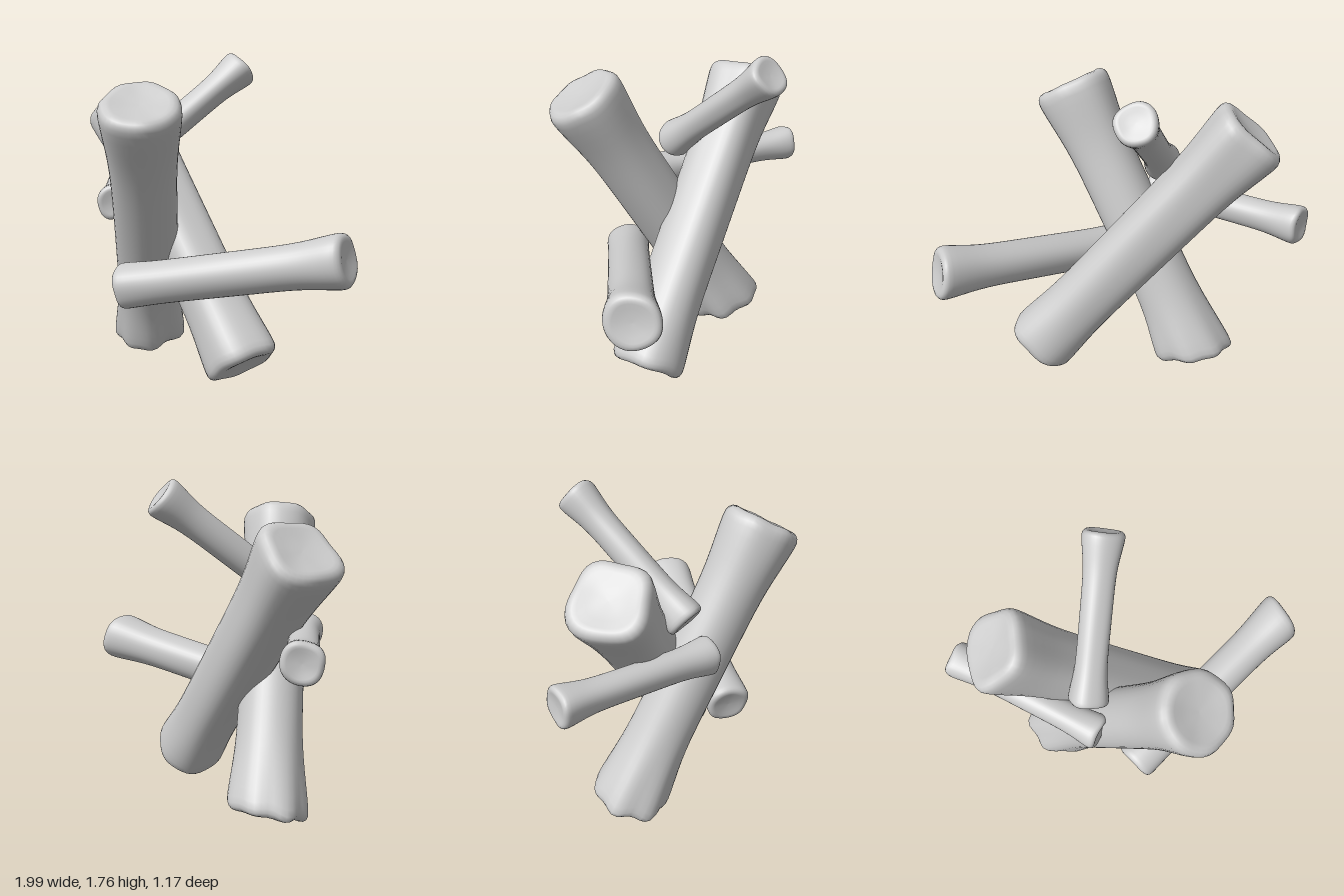
import * as THREE from 'three';

const SIDES = 40;
// End profile from cap centre to shaft: [inset along axis, radius factor], in end radii
const CAP = [[0.09, 0.01], [0.08, 0.25], [0.05, 0.5], [0.01, 0.68], [0, 0.78], [0.03, 0.88], [0.1, 0.95], [0.2, 0.99], [0.35, 1], [0.6, 1]];

// Each piece: ends a and b, end radii, shaft radius, squareness, knobbly rim and cap slant at each end
const PIECES = [
  { name: 'largeBoneFront', a: [-0.455, 0.09, -0.135], b: [0.252, 1.56, 0.4], ra: 0.208, rb: 0.21, mid: 0.171,
    sqA: 0.1, sqB: 0, knobA: 0.014, knobB: 0.005, lobes: 7, seed: 1, slantA: [-0.28, 0], slantB: [0, 0] },
  { name: 'largeBoneBack', a: [0.46, 0.152, -0.12], b: [-0.698, 1.485, -0.095], ra: 0.194, rb: 0.198, mid: 0.168,
    sqA: 0.1, sqB: 0.45, knobA: 0.009, knobB: 0.005, lobes: 5, seed: 2.3, slantA: [0, 0], slantB: [0, 0] },
  { name: 'mediumBoneRight', a: [-0.055, 0.553, 0.33], b: [0.935, 0.803, -0.365], ra: 0.124, rb: 0.141, mid: 0.115,
    sqA: 0, sqB: 0, knobA: 0.004, knobB: 0.003, lobes: 4, seed: 3.7, slantA: [0, 0], slantB: [0, -0.2] },
  { name: 'smallBoneTop', a: [-0.265, 1.175, 0.15], b: [-0.075, 1.715, -0.523], ra: 0.104, rb: 0.105, mid: 0.079,
    sqA: 0.1, sqB: 0.1, knobA: 0.004, knobB: 0.005, lobes: 3, seed: 5.1, slantA: [0, 0], slantB: [0, 0] },
  { name: 'smallBoneLeft', a: [-0.22, 0.98, 0.26], b: [-0.95, 1.02, -0.27], ra: 0.098, rb: 0.102, mid: 0.079,
    sqA: 0.1, sqB: 0.1, knobA: 0.005, knobB: 0.005, lobes: 4, seed: 6.4, slantA: [0, 0], slantB: [0, 0] },
];

// Closed bone: rings swept along the axis, flared at both ends with dished caps
function boneGeometry(p) {
  const a = new THREE.Vector3(...p.a);
  const axis = new THREE.Vector3(...p.b).sub(a);
  const length = axis.length();
  axis.normalize();
  const u = new THREE.Vector3(0, 0, 1).cross(axis).normalize();
  const v = axis.clone().cross(u);

  // Stations along the axis: cap, shaft, mirrored cap
  const stations = CAP.map(([inset, f]) => ({ s: inset * p.ra, f }));
  const s0 = 0.6 * p.ra, s1 = length - 0.6 * p.rb, steps = 22;
  for (let i = 1; i < steps; i++) stations.push({ s: s0 + (s1 - s0) * i / steps, f: 1 });
  for (const [inset, f] of [...CAP].reverse()) stations.push({ s: length - inset * p.rb, f });

  const positions = [], index = [], point = new THREE.Vector3();
  for (const { s, f } of stations) {
    const t = s / length;
    const nearA = Math.exp(-Math.pow(s / (1.3 * p.ra), 2));
    const nearB = Math.exp(-Math.pow((length - s) / (1.3 * p.rb), 2));
    const base = p.mid + (p.ra - p.mid) * nearA + (p.rb - p.mid) * nearB;
    const power = 2 + 2.5 * (p.sqA + (p.sqB - p.sqA) * t);
    const slantU = p.slantA[0] * nearA + p.slantB[0] * nearB;
    const slantV = p.slantA[1] * nearA + p.slantB[1] * nearB;
    for (let j = 0; j < SIDES; j++) {
      const q = j / SIDES * Math.PI * 2;
      const c = Math.cos(q), d = Math.sin(q);
      // Rounded-square section with gentle lengthwise ridges
      let r = base * f / Math.pow(Math.abs(c) ** power + Math.abs(d) ** power, 1 / power);
      r *= 1 + 0.015 * Math.sin(3 * q + p.seed + 2 * t) + 0.01 * Math.sin(5 * q + 2 * p.seed - 3 * t);
      // Knobbly rims and slanted caps at the ends
      const lobe = Math.sin(p.lobes * q + p.seed) + 0.6 * Math.sin((p.lobes - 2) * q + 2 * p.seed);
      const knob = lobe * (p.knobA * nearA + p.knobB * nearB) * f ** 4;
      r += 0.5 * knob;
      const along = s + knob * (nearA > nearB ? -0.8 : 0.8) + r * (c * slantU + d * slantV);
      point.copy(a).addScaledVector(axis, along).addScaledVector(u, r * c).addScaledVector(v, r * d);
      positions.push(point.x, point.y, point.z);
    }
  }
  for (let i = 0; i < stations.length - 1; i++) {
    for (let j = 0; j < SIDES; j++) {
      const k = (j + 1) % SIDES;
      const p0 = i * SIDES + j, p1 = i * SIDES + k;
      index.push(p0, p1, p0 + SIDES, p1, p1 + SIDES, p0 + SIDES);
    }
  }
  // Close the pinholes at the cap centres
  const last = (stations.length - 1) * SIDES;
  for (let j = 1; j < SIDES - 1; j++) {
    index.push(0, j + 1, j, last, last + j, last + j + 1);
  }
  const geometry = new THREE.BufferGeometry();
  geometry.setAttribute('position', new THREE.Float32BufferAttribute(positions, 3));
  geometry.setIndex(index);
  geometry.computeVertexNormals();
  return geometry;
}

export function createModel() {
  const group = new THREE.Group();
  group.name = 'bonePile';
  const material = new THREE.MeshStandardMaterial({ color: 0xcccccc });
  for (const piece of PIECES) {
    const mesh = new THREE.Mesh(boneGeometry(piece), material);
    mesh.name = piece.name;
    group.add(mesh);
  }
  return group;
}
